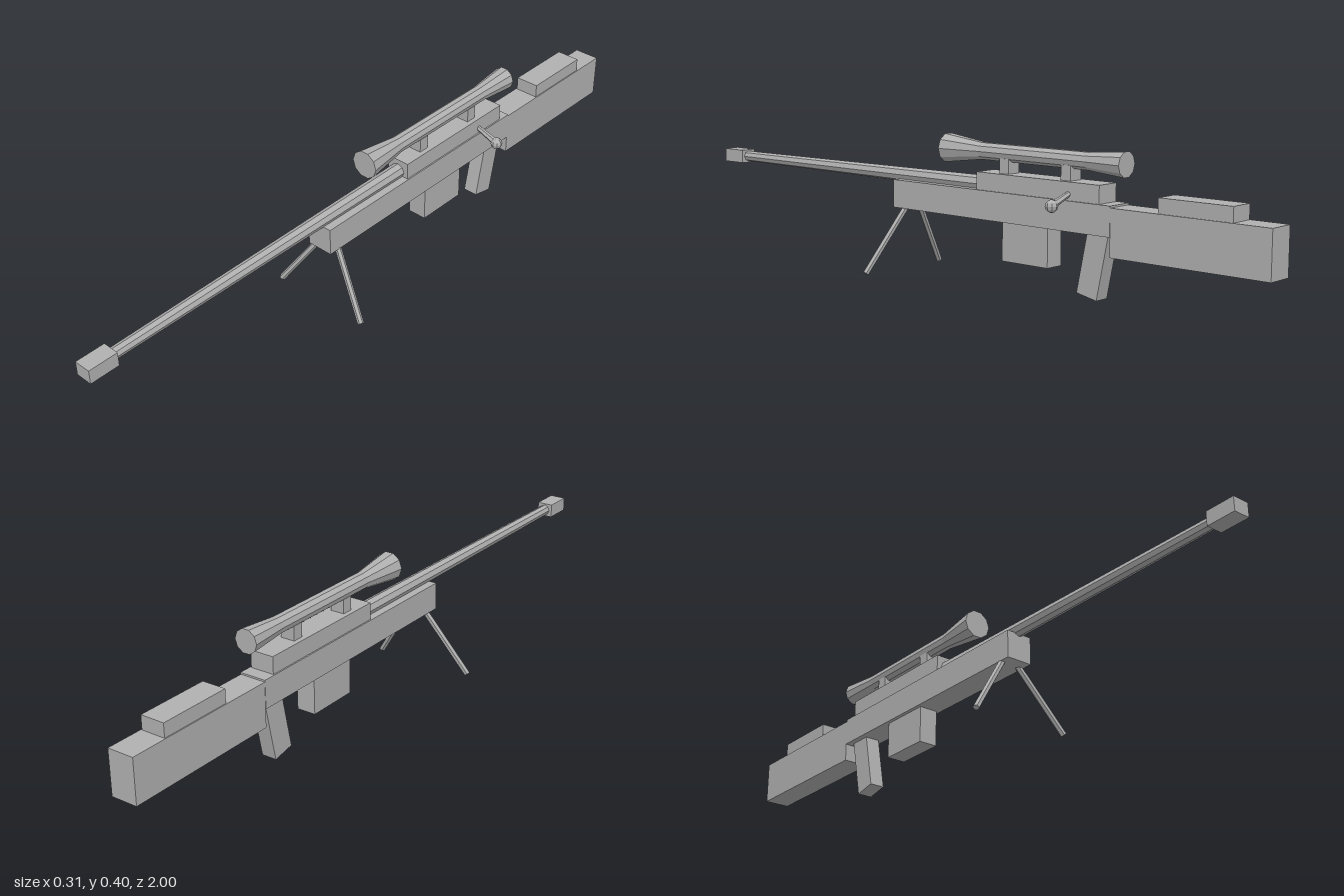
import * as THREE from 'three';

export function createModel() {
  const model = new THREE.Group();
  const grey = new THREE.MeshStandardMaterial({ color: 0xb0b0b0, flatShading: true });
  grey.name = 'grey';

  function add(name, geometry) {
    const mesh = new THREE.Mesh(geometry, grey);
    mesh.name = name;
    model.add(mesh);
    return mesh;
  }

  // Box from its half width, height range and length range
  function block(name, halfWidth, y0, y1, z0, z1) {
    const mesh = add(name, new THREE.BoxGeometry(halfWidth * 2, y1 - y0, z1 - z0));
    mesh.position.set(0, (y0 + y1) / 2, (z0 + z1) / 2);
    return mesh;
  }

  // Tapered rod between two points
  function rod(name, from, to, r0, r1, sides) {
    const a = new THREE.Vector3(...from);
    const b = new THREE.Vector3(...to);
    const mesh = add(name, new THREE.CylinderGeometry(r1, r0, a.distanceTo(b), sides));
    mesh.position.copy(a).lerp(b, 0.5);
    mesh.quaternion.setFromUnitVectors(new THREE.Vector3(0, 1, 0), b.sub(a).normalize());
    return mesh;
  }

  // Body and stock
  block('body', 0.039, 0.183, 0.262, -0.545, 0.217);
  block('receiver', 0.035, 0.262, 0.31, -0.508, -0.097);
  block('buttstock', 0.038, 0.132, 0.257, -1, -0.545);
  block('cheekRest', 0.035, 0.257, 0.296, -0.895, -0.685);
  block('magazine', 0.028, 0.077, 0.183, -0.338, -0.183);

  // Slanted grip
  const grip = add('grip', new THREE.BoxGeometry(0.044, 0.175, 0.065));
  grip.position.set(0, 0.105, -0.479);
  grip.rotation.x = -0.2;

  // Barrel and muzzle
  rod('barrel', [0, 0.275, -0.1], [0, 0.273, 0.92], 0.022, 0.016, 8);
  block('muzzle', 0.024, 0.253, 0.293, 0.915, 1);

  // Scope: one lathe, flared at both ends
  const profile = [
    [0, -0.565], [0.034, -0.565], [0.024, -0.45],
    [0.024, -0.09], [0.041, 0.04], [0, 0.04],
  ].map(([r, z]) => new THREE.Vector2(r, z));
  const scope = add('scope', new THREE.LatheGeometry(profile, 10, Math.PI / 2));
  scope.rotation.x = Math.PI / 2;
  scope.position.y = 0.363;
  for (const z of [-0.182, -0.39]) {
    block('scopeMount', 0.021, 0.31, 0.35, z - 0.016, z + 0.016);
  }

  // Bolt handle
  rod('boltHandle', [0.03, 0.28, -0.41], [0.1, 0.256, -0.41], 0.007, 0.01, 6);
  const knob = add('boltKnob', new THREE.SphereGeometry(0.017, 8, 6));
  knob.position.set(0.101, 0.255, -0.41);

  // Bipod legs
  for (const side of [-1, 1]) {
    rod('bipodLeg', [side * 0.022, 0.195, 0.177], [side * 0.148, 0.007, 0.219], 0.009, 0.009, 6);
  }

  return model;
}
